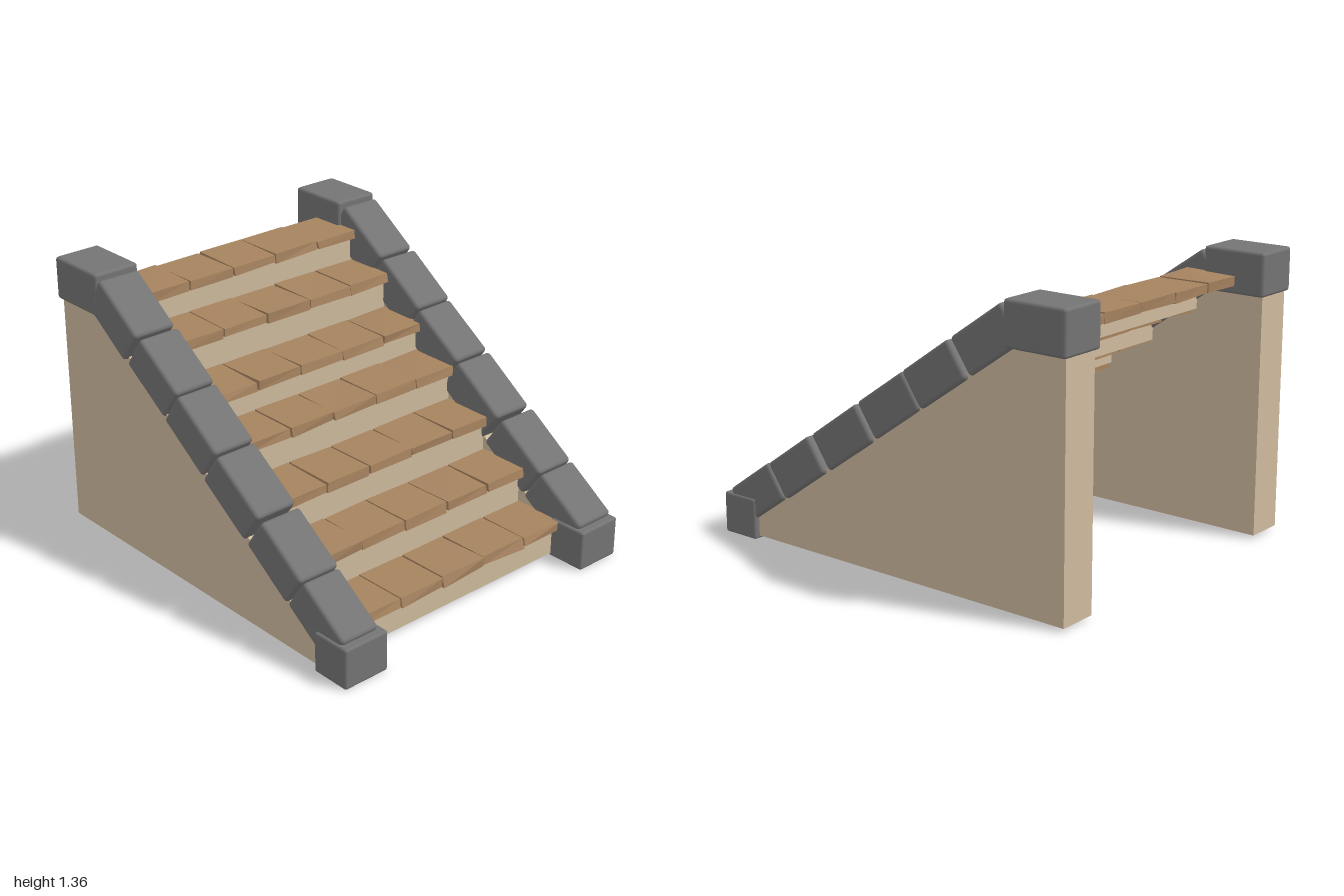
import * as THREE from 'three';
import { RoundedBoxGeometry } from 'three/addons/geometries/RoundedBoxGeometry.js';

const mat = (name, color) => {
  const m = new THREE.MeshStandardMaterial({ color });
  m.name = name;
  return m;
};

// Small seeded generator, -1..1
let seed = 7;
const rnd = () => {
  seed = (seed * 16807) % 2147483647;
  return (seed / 2147483647) * 2 - 1;
};

// Box with each of its eight corners nudged, faces kept flat
function roughBox(w, h, d, corner) {
  const geo = new THREE.BoxGeometry(w, h, d).toNonIndexed();
  const p = geo.attributes.position;
  const nudges = {};
  for (let i = 0; i < p.count; i++) {
    const s = [Math.sign(p.getX(i)), Math.sign(p.getY(i)), Math.sign(p.getZ(i))];
    const n = (nudges[s.join()] ??= corner(...s));
    p.setXYZ(i, p.getX(i) + n[0], p.getY(i) + n[1], p.getZ(i) + n[2]);
  }
  geo.computeVertexNormals();
  return geo;
}

export function createModel() {
  const stone = mat('grey stone', 0x747474);
  const plaster = mat('beige plaster', 0xcfba9e);
  const wood = mat('brown wood', 0xa6835f);

  const model = new THREE.Group();
  model.name = 'staircase';
  const add = (geo, material, name, x = 0, y = 0, z = 0, parent = model) => {
    const mesh = new THREE.Mesh(geo, material);
    mesh.name = name;
    mesh.position.set(x, y, z);
    parent.add(mesh);
    return mesh;
  };

  // Side walls: sloped profile drawn in z and y
  const profile = new THREE.Shape([
    [0.9, 0.015], [0.9, 0.05], [-0.7, 1.17], [-0.985, 1.17], [-0.985, 0.015],
  ].map(([z, y]) => new THREE.Vector2(z, y)));
  const wallGeo = new THREE.ExtrudeGeometry(profile, { depth: 0.19, bevelEnabled: false });
  wallGeo.translate(0, 0, -0.095).rotateY(-Math.PI / 2);

  // Sloping coping stones: z, y, length
  const coping = [
    [0.79, 0.225, 0.31], [0.525, 0.403, 0.315], [0.24, 0.597, 0.335],
    [-0.037, 0.79, 0.32], [-0.305, 0.975, 0.315], [-0.58, 1.166, 0.33],
  ];
  for (const side of [-1, 1]) {
    const group = new THREE.Group();
    group.name = side > 0 ? 'leftSide' : 'rightSide';
    model.add(group);
    add(wallGeo, plaster, 'sideWall', side * 0.727, 0, 0, group);
    add(new RoundedBoxGeometry(0.24, 0.197, 0.2, 2, 0.012), stone, 'bottomStone', side * 0.73, 0.0985, 0.9, group);
    add(new RoundedBoxGeometry(0.237, 0.205, 0.317, 2, 0.015), stone, 'topStone', side * 0.727, 1.2525, -0.8415, group);
    for (const [z, y, len] of coping) {
      const geo = new RoundedBoxGeometry(0.212 + 0.008 * rnd(), 0.187, len, 2, 0.018);
      const block = add(geo, stone, 'copingStone', side * (0.731 + 0.005 * rnd()), y, z, group);
      block.rotation.set(0.605, 0.012 * rnd(), 0.012 * rnd());
    }
  }

  // Steps: tops and front edges of the treads
  const tops = [0.195, 0.38, 0.565, 0.745, 0.895, 1.08, 1.24];
  const fronts = [0.847, 0.607, 0.367, 0.125, -0.1, -0.337, -0.58];
  const joints = [-0.635, -0.39, -0.135, 0.125, 0.385, 0.635];
  const thick = 0.055, depth = 0.27;
  tops.forEach((top, i) => {
    const step = new THREE.Group();
    step.name = 'step' + (i + 1);
    model.add(step);

    // Riser from the tread below up to this tread
    const low = i ? tops[i - 1] - 0.03 : 0.015;
    const high = top - thick + 0.02;
    add(new THREE.BoxGeometry(1.27, high - low, 0.02), plaster, 'riser', 0, (low + high) / 2, fronts[i] - 0.045, step);

    // Five uneven planks
    for (let k = 0; k < 5; k++) {
      const w = joints[k + 1] - joints[k];
      const geo = roughBox(w - 0.008, thick, depth, (sx, sy, sz) => [
        0.004 * rnd(),
        sy > 0 ? -0.004 + 0.004 * rnd() : 0.006 + 0.007 * rnd(),
        sz > 0 ? (sy > 0 ? -0.006 : -0.002) + 0.006 * rnd() : 0.003 * rnd(),
      ]);
      add(geo, wood, 'plank', (joints[k] + joints[k + 1]) / 2, top - thick / 2, fronts[i] - depth / 2, step);
    }
  });

  return model;
}
